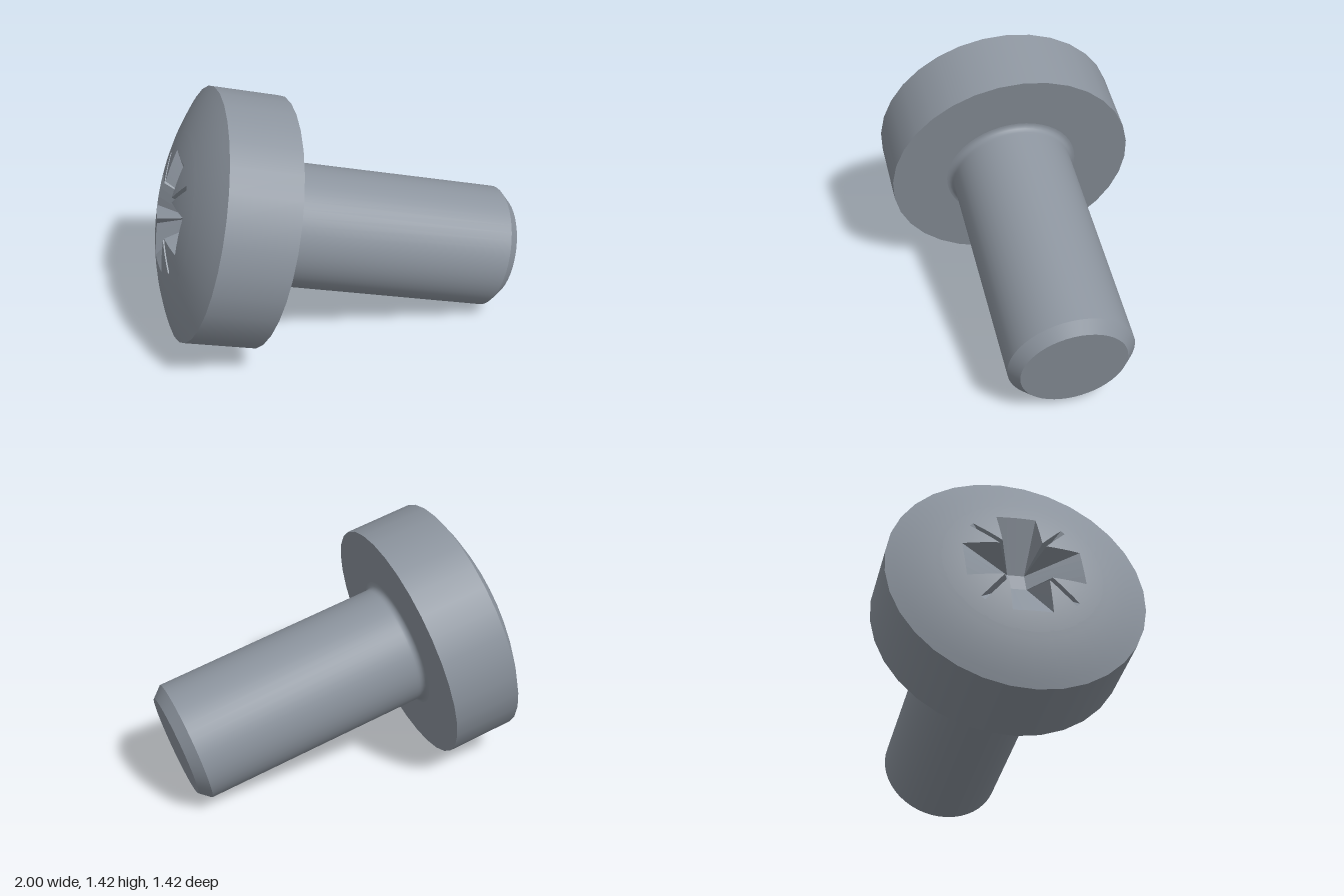
import * as THREE from 'three';

const RIM = 0.685, RIM_Y = 1.765, UNDER_Y = 1.38, CAP = 0.17, SHAFT = 0.34;
const SPHERE = (RIM * RIM + CAP * CAP) / (2 * CAP);
const SPHERE_Y = RIM_Y + CAP - SPHERE;
const domeY = (r) => SPHERE_Y + Math.sqrt(SPHERE * SPHERE - r * r);
const PATCH = 0.42; // radius where the domed patch around the recess ends

// Outline of the cross recess: four wide wings with a thin tick between each pair
function recessOutline() {
  const w = 0.105, wingR = 0.31, tickR = 0.345, t = 0.013, s = t * Math.SQRT2;
  const a = (tickR + t) / Math.SQRT2, b = (tickR - t) / Math.SQRT2;
  const quarter = [[wingR, w], [w + s, w], [a, b], [b, a], [w, w + s], [w, wingR]];
  const corners = [];
  for (let q = 0; q < 4; q++) {
    const c = Math.round(Math.cos(q * Math.PI / 2)), n = Math.round(Math.sin(q * Math.PI / 2));
    quarter.forEach(([x, z]) => corners.push({ x: x * c - z * n, z: x * n + z * c, q }));
  }
  // Subdivide the edges so that they follow the dome
  const points = [];
  corners.forEach((p, i) => {
    const next = corners[(i + 1) % corners.length];
    for (let k = 0; k < 4; k++) {
      const f = k / 4;
      points.push({
        x: p.x + (next.x - p.x) * f, z: p.z + (next.z - p.z) * f,
        q: p.q, q2: next.q, wingEnd: p.q !== next.q, f,
      });
    }
  });
  return points;
}

// Spherical patch between the recess outline and a circle
function domePatch(outline) {
  const rows = 4, n = outline.length, pos = [], nor = [], idx = [];
  for (let j = 0; j <= rows; j++) {
    for (const p of outline) {
      const r0 = Math.hypot(p.x, p.z), r = r0 + (PATCH - r0) * j / rows;
      const x = p.x / r0 * r, z = p.z / r0 * r, y = domeY(r);
      pos.push(x, y, z);
      nor.push(x / SPHERE, (y - SPHERE_Y) / SPHERE, z / SPHERE);
    }
  }
  for (let j = 0; j < rows; j++) {
    for (let i = 0; i < n; i++) {
      const a = j * n + i, b = j * n + (i + 1) % n;
      idx.push(a, b, a + n, b, b + n, a + n);
    }
  }
  const g = new THREE.BufferGeometry();
  g.setAttribute('position', new THREE.Float32BufferAttribute(pos, 3));
  g.setAttribute('normal', new THREE.Float32BufferAttribute(nor, 3));
  g.setIndex(idx);
  return g;
}

// Walls running from the outline down to the corners of a small square floor
function recessWalls(outline) {
  const h = 0.045, y = RIM_Y + CAP - 0.18, pos = [];
  const deep = [[h, h], [-h, h], [-h, -h], [h, -h]].map(([x, z]) => new THREE.Vector3(x, y, z));
  const tri = (...v) => v.forEach((p) => pos.push(p.x, p.y, p.z));
  const top = (p) => new THREE.Vector3(p.x, domeY(Math.hypot(p.x, p.z)), p.z);
  outline.forEach((p, i) => {
    const a = top(p), b = top(outline[(i + 1) % outline.length]);
    if (!p.wingEnd) {
      tri(b, a, deep[p.q]);
    } else {
      const da = deep[p.q].clone().lerp(deep[p.q2], p.f);
      const db = deep[p.q].clone().lerp(deep[p.q2], p.f + 0.25);
      tri(b, a, da);
      tri(b, da, db);
    }
  });
  tri(deep[0], deep[2], deep[1]);
  tri(deep[0], deep[3], deep[2]);
  const g = new THREE.BufferGeometry();
  g.setAttribute('position', new THREE.Float32BufferAttribute(pos, 3));
  g.computeVertexNormals();
  return g;
}

export function createModel() {
  const steel = new THREE.MeshStandardMaterial({ color: 0x8c949e });
  steel.name = 'steel';
  const screw = new THREE.Group();
  screw.name = 'screw';

  const add = (name, geometry) => {
    const mesh = new THREE.Mesh(geometry, steel);
    mesh.name = name;
    screw.add(mesh);
  };
  const lathe = (name, profile, sides) =>
    add(name, new THREE.LatheGeometry(profile.map(([r, y]) => new THREE.Vector2(r, y)), sides));

  // Shaft with chamfered tip and a small fillet under the head
  const fillet = [];
  for (let i = 0; i <= 5; i++) {
    const a = i / 5 * Math.PI / 2, f = 0.035;
    fillet.push([SHAFT + f * (1 - Math.cos(a)), UNDER_Y - f * (1 - Math.sin(a))]);
  }
  lathe('tipFace', [[0, 0], [0.286, 0]], 48);
  lathe('tipChamfer', [[0.286, 0], [SHAFT, 0.06]], 48);
  lathe('shaft', [[SHAFT, 0.06], [SHAFT, UNDER_Y - 0.05], ...fillet], 48);

  // Head
  const dome = [];
  for (let i = 0; i <= 6; i++) {
    const r = RIM + (PATCH - 0.005 - RIM) * i / 6;
    dome.push([r, domeY(r)]);
  }
  lathe('headUnderside', [[SHAFT + 0.03, UNDER_Y], [RIM, UNDER_Y]], 32);
  lathe('headSide', [[RIM, UNDER_Y], [RIM, RIM_Y]], 32);
  lathe('headDome', dome, 32);

  // Driver recess
  const outline = recessOutline();
  add('headCrown', domePatch(outline));
  add('driverRecess', recessWalls(outline));

  // Lay the screw down at a slant, resting on head and tip
  const up = new THREE.Vector3(-0.948, 0.248, -0.198).normalize();
  const side = new THREE.Vector3(0, 0, 1).addScaledVector(up, -up.z).normalize();
  const cross = new THREE.Vector3().crossVectors(up, side);
  screw.quaternion.setFromRotationMatrix(new THREE.Matrix4().makeBasis(cross, up, side));
  screw.position.set(0.909, 0.321, 0.315);

  const model = new THREE.Group();
  model.name = 'panHeadScrew';
  model.add(screw);
  return model;
}
